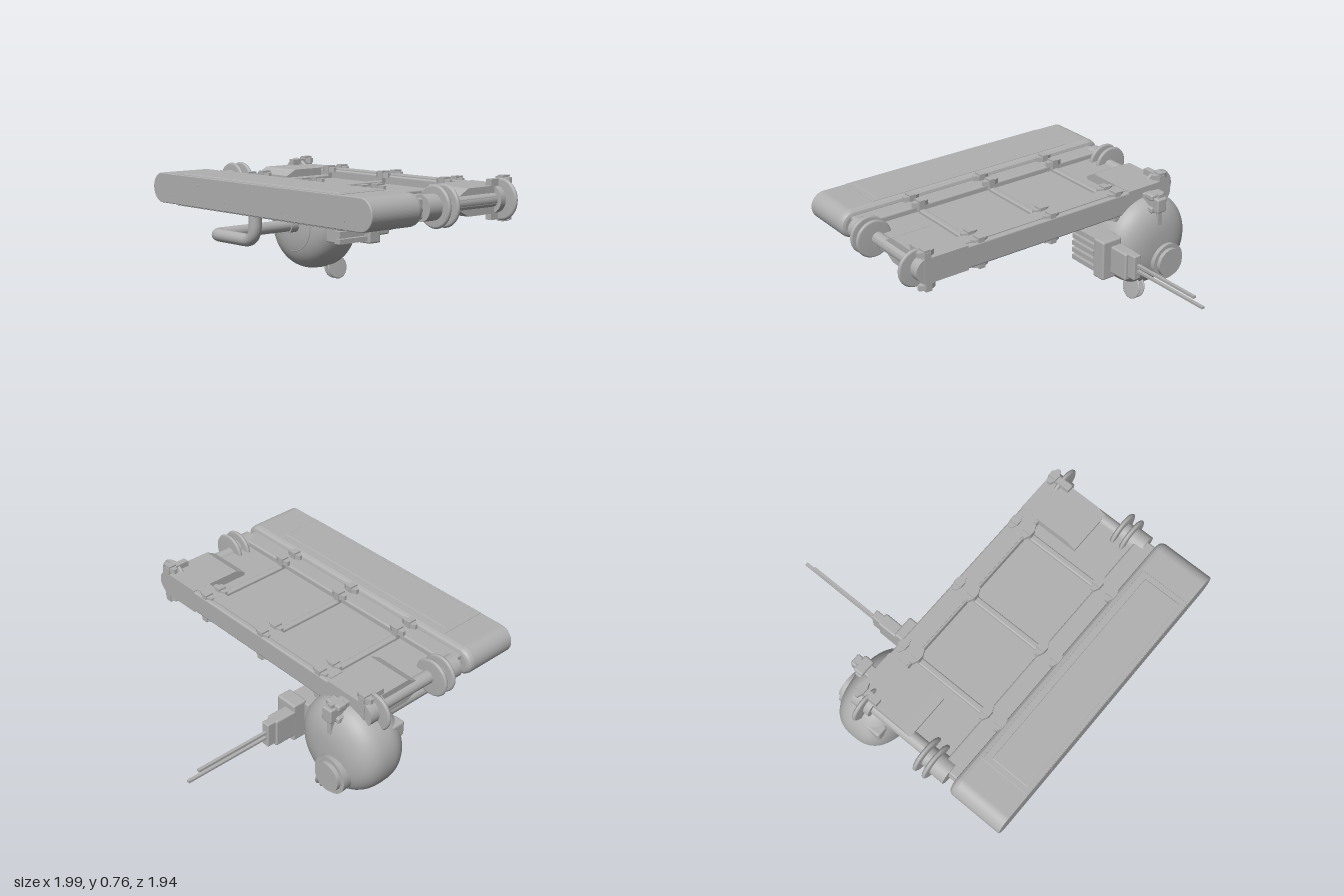
import * as THREE from 'three';
import { RoundedBoxGeometry } from 'three/addons/geometries/RoundedBoxGeometry.js';

const MID = 0.013; // x centre of the platform
const AXLE = 0.868; // half distance between the wheel axes
const LEVEL = 0.64; // platform mid height

export function createModel() {
  const grey = new THREE.MeshStandardMaterial({ color: 0xb0b0b0 });
  grey.name = 'grey';
  const root = new THREE.Group();
  root.name = 'platformMachine';

  const add = (name, geo, x = 0, y = 0, z = 0, parent = root) => {
    const m = new THREE.Mesh(geo, grey);
    m.name = name;
    m.position.set(x, y, z);
    parent.add(m);
    return m;
  };
  // Box given by its limits on each axis
  const box = (name, x0, x1, y0, y1, z0, z1, r = 0) => {
    const s = [x1 - x0, y1 - y0, z1 - z0];
    const g = r ? new RoundedBoxGeometry(...s, 2, r) : new THREE.BoxGeometry(...s);
    return add(name, g, (x0 + x1) / 2, (y0 + y1) / 2, (z0 + z1) / 2);
  };
  // Cylinder along z between two depths
  const rod = (name, r, x, y, z0, z1, sides = 32, r2 = r) =>
    add(name, new THREE.CylinderGeometry(r, r2, z1 - z0, sides).rotateX(Math.PI / 2), x, y, (z0 + z1) / 2);
  // Wheel disc with a rounded rim, facing z
  const disc = (name, r, t, x, y, z, parent = root) => {
    const p = [[0, -t], [r - t, -t], [r - t * 0.3, -t * 0.6], [r, 0], [r - t * 0.3, t * 0.6], [r - t, t], [0, t]];
    const g = new THREE.LatheGeometry(p.map(a => new THREE.Vector2(...a)), 40).rotateX(Math.PI / 2);
    return add(name, g, x, y, z, parent);
  };
  const stadium = (x0, x1, r) => {
    const s = new THREE.Shape();
    s.absarc(x1 - r, 0, r, -Math.PI / 2, Math.PI / 2, false);
    s.absarc(x0 + r, 0, r, Math.PI / 2, Math.PI * 1.5, false);
    s.closePath();
    return s;
  };

  // Front bumper with a chamfered back
  const bumper = stadium(-0.938, 0.964, 0.0875);
  add('bumper', new THREE.ExtrudeGeometry(bumper, {
    depth: 0.31, bevelEnabled: true, bevelThickness: 0.006, bevelSize: 0.006, bevelOffset: -0.006, curveSegments: 20,
  }), 0, LEVEL, 0.65);
  add('bumperBack', new THREE.ExtrudeGeometry(bumper, {
    depth: 0.02, bevelEnabled: true, bevelThickness: 0.035, bevelSize: 0.03, bevelOffset: -0.03, bevelSegments: 3, curveSegments: 20,
  }), 0, LEVEL, 0.645);
  for (const s of [-1, 1]) {
    const y = LEVEL + s * 0.0875;
    box('bumperPanel', -0.7, 0.725, y - 0.004, y + 0.004, 0.65, 0.962, 0.003);
    box('bumperInset', -0.665, 0.69, y - 0.007, y + 0.007, 0.69, 0.94, 0.005);
  }
  for (let i = 0; i < 7; i++) rod('bumperStud', 0.006, -0.74 + i * 0.25, LEVEL + (i % 2 ? 0.04 : -0.04), 0.96, 0.968, 10);

  // Deck and its cross rails
  box('deck', -0.868, 0.897, 0.62, 0.66, -0.1, 0.63);
  box('frontRail', -0.868, 0.897, 0.585, 0.695, 0.5, 0.63, 0.012);
  box('rearRail', -0.83, 0.86, 0.57, 0.71, -0.13, 0, 0.012);
  box('rearRailStrip', -0.56, 0.59, 0.565, 0.715, -0.1, -0.01);

  // Strap with a nut above and below
  const clamp = (x, y0, y1, z) => {
    box('clampStrap', x - 0.02, x + 0.02, y0, y1, z - 0.027, z + 0.027);
    for (const y of [y0 + 0.025, y1 - 0.025]) {
      add('clampNut', new THREE.CylinderGeometry(1, 1, 0.03, 8).rotateY(Math.PI / 8).scale(0.056, 1, 0.025)
        .toNonIndexed(), x, y, z).geometry.computeVertexNormals();
    }
  };
  for (const x of [-0.48, 0, 0.5]) {
    box('deckRib', x - 0.02, x + 0.02, 0.6, 0.68, 0, 0.5, 0.01);
    for (const z of [-0.1, 0, 0.5, 0.6]) clamp(x, 0.545, 0.735, z);
  }

  // Corner housings, axles and wheel discs
  const housing = new THREE.Shape([[0.265, -0.04], [0.265, 0.04], [0.2, 0.075], [-0.13, 0.075], [-0.13, -0.075],
    [0.2, -0.075]].map(p => new THREE.Vector2(...p)));
  const housingGeo = new THREE.ExtrudeGeometry(housing, { depth: 0.285, bevelEnabled: false })
    .translate(0, 0, -0.1425).rotateY(-Math.PI / 2);
  for (const s of [-1, 1]) {
    const x = MID + s * AXLE;
    add('cornerHousing', housingGeo, MID + s * 0.72, LEVEL, 0);
    rod('axle', 0.04, x - s * 0.02, LEVEL, -0.1, 0.63);
    rod('hub', 0.07, x, LEVEL, 0.46, 0.56);
    rod('hubFront', 0.062, x, LEVEL, 0.38, 0.47);
    for (const z of [0.39, 0.455, -0.05]) disc('wheelDisc', 0.115, 0.013, x, LEVEL, z);
    rod('rearHub', 0.075, x - s * 0.03, LEVEL, -0.125, 0);
    clamp(MID + s * 0.838, 0.515, 0.765, -0.1);
    box('clampArm', MID + s * 0.838 - 0.02, MID + s * 0.838 + 0.02, 0.53, 0.75, -0.13, 0.02);
  }

  // Pod: squarish round body turned about z
  const profile = [];
  for (let i = 0; i <= 28; i++) {
    const a = -Math.PI / 2 + (i / 28) * Math.PI;
    const e = 2 / 2.7;
    profile.push(new THREE.Vector2(0.293 * Math.max(0, Math.cos(a)) ** e, 0.198 * Math.sign(Math.sin(a)) * Math.abs(Math.sin(a)) ** e));
  }
  add('pod', new THREE.LatheGeometry(profile, 56).rotateX(Math.PI / 2), -0.705, 0.365, -0.06);
  add('podSeam', new THREE.TorusGeometry(0.17, 0.006, 6, 48, Math.PI * 1.4), -0.7, 0.365, 0.115).rotation.z = Math.PI * 0.8;
  rod('lensBarrel', 0.105, -0.76, 0.255, -0.285, -0.15, 32, 0.115);
  rod('lensRim', 0.09, -0.76, 0.255, -0.31, -0.28, 32);

  // Mounts between the pod and the platform
  for (const z of [-0.2, 0.15]) {
    const low = z > 0;
    box('mountPost', -0.725, -0.695, low ? 0.43 : 0.5, low ? 0.58 : 0.7, z - 0.05, z + 0.03);
    for (const y of low ? [0.45, 0.535] : [0.6, 0.68]) {
      box('mountNut', -0.76, -0.655, y - 0.02, y + 0.02, z - 0.03, z + 0.035, 0.012);
    }
  }
  box('mountBridge', -0.74, -0.67, 0.59, 0.68, -0.27, -0.1, 0.01);
  box('sideLatch', -0.94, -0.86, 0.44, 0.54, 0, 0.1, 0.015);

  // Bent pipe from the bumper to the pod
  const V = (x, y, z) => new THREE.Vector3(x, y, z);
  const path = new THREE.CurvePath();
  const [a, b, c, d, e, f] = [V(-0.26, 0.56, 0.74), V(-0.26, 0.46, 0.74), V(-0.36, 0.363, 0.74),
    V(-0.59, 0.363, 0.74), V(-0.66, 0.363, 0.67), V(-0.66, 0.363, 0.1)];
  path.add(new THREE.LineCurve3(a, b));
  path.add(new THREE.QuadraticBezierCurve3(b, V(-0.26, 0.363, 0.74), c));
  path.add(new THREE.LineCurve3(c, d));
  path.add(new THREE.QuadraticBezierCurve3(d, V(-0.66, 0.363, 0.74), e));
  path.add(new THREE.LineCurve3(e, f));
  add('pipe', new THREE.TubeGeometry(path, 90, 0.037, 20));
  add('pipeCollar', new THREE.CylinderGeometry(0.045, 0.045, 0.04, 24), -0.26, 0.54, 0.74);
  rod('pipeFlange', 0.045, -0.66, 0.363, 0.1, 0.19);

  // Ribbed side box
  box('sideBox', -0.45, -0.33, 0.27, 0.49, -0.16, 0.06, 0.01);
  for (let i = 0; i < 5; i++) box('sideRib', -0.35, -0.3, 0.272 + i * 0.047, 0.302 + i * 0.047, -0.15, 0.075);
  box('sideBoxEnd', -0.42, -0.28, 0.255, 0.505, -0.24, -0.145, 0.012);

  // Rear gripper with two long prongs
  box('gripperBody', -0.42, -0.34, 0.29, 0.465, -0.37, -0.22, 0.012);
  box('gripperTip', -0.412, -0.36, 0.31, 0.465, -0.425, -0.35, 0.008);
  box('upperProng', -0.399, -0.38, 0.395, 0.41, -0.9, -0.4);
  box('lowerProng', -0.399, -0.38, 0.36, 0.374, -0.97, -0.4);

  // Fins under the pod
  for (const x of [-0.615, -0.58]) {
    const fin = disc('fin', 0.076, 0.007, 0, 0, 0, new THREE.Group());
    fin.rotation.y = Math.PI / 2;
    const g = new THREE.Group();
    g.name = 'finMount';
    g.add(fin);
    g.position.set(x - 0.01, 0.078, -0.15);
    g.rotation.z = 0.2;
    root.add(g);
  }
  return root;
}
